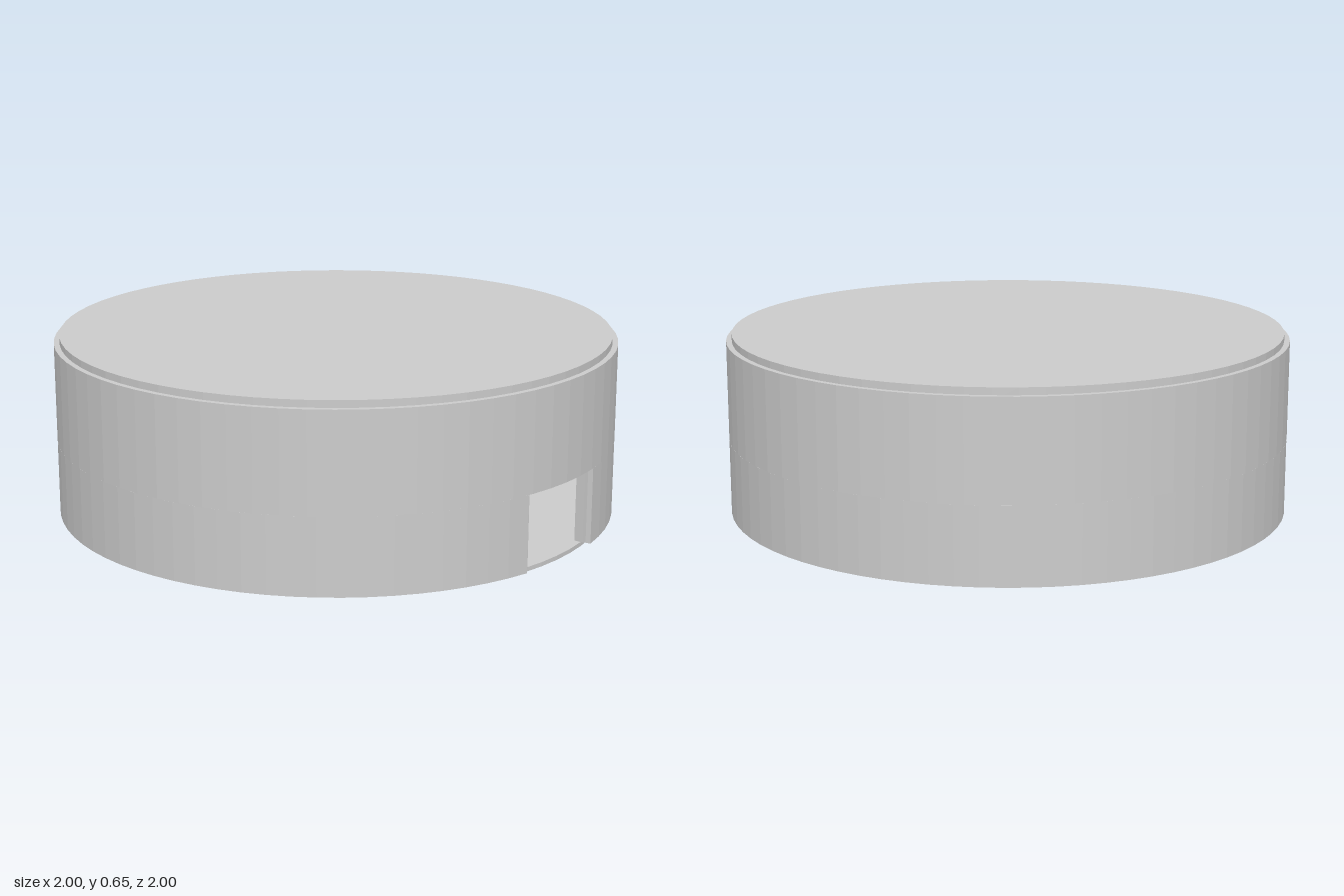
import * as THREE from 'three';

export function createModel() {
  const model = new THREE.Group();
  const mat = new THREE.MeshStandardMaterial({ color: 0xcccccc, flatShading: true });

  function add(name, geometry, parent = model) {
    const mesh = new THREE.Mesh(geometry, mat);
    mesh.name = name;
    parent.add(mesh);
    return mesh;
  }
  // box given by its lower and upper limits on each axis
  function box(name, [x0, x1], [y0, y1], [z0, z1], parent = model) {
    const m = add(name, new THREE.BoxGeometry(x1 - x0, y1 - y0, z1 - z0), parent);
    m.position.set((x0 + x1) / 2, (y0 + y1) / 2, (z0 + z1) / 2);
    return m;
  }
  function disc(name, r, y0, y1) {
    add(name, new THREE.CylinderGeometry(r, r, y1 - y0, 72)).position.y = (y0 + y1) / 2;
  }
  function extrudeUp(name, shape, y0, y1) {
    const g = new THREE.ExtrudeGeometry(shape, { depth: y1 - y0, bevelEnabled: false, curveSegments: 36 });
    add(name, g.rotateX(-Math.PI / 2).translate(0, y0, 0));
  }

  const outer = 1, inner = 0.97, floorTop = 0.015, doorTop = 0.28;

  // floor and roof
  disc('floor', 0.97, 0, floorTop);
  disc('roof', 0.98, 0.61, 0.655);

  // outer wall: closed ring above the doorway, open ring beside it
  const ring = new THREE.Shape().absarc(0, 0, outer, 0, Math.PI * 2, false);
  ring.holes.push(new THREE.Path().absarc(0, 0, inner, 0, Math.PI * 2, true));
  extrudeUp('upperWall', ring, doorTop, 0.63);

  const start = -Math.PI / 2 + 0.186, end = Math.PI * 1.5 - 0.192;
  const openRing = new THREE.Shape();
  openRing.absarc(0, 0, outer, start, end, false);
  openRing.absarc(0, 0, inner, end, start, true);
  openRing.closePath();
  extrudeUp('lowerWall', openRing, 0.01, doorTop);

  // door posts
  box('doorPost', [-0.19, -0.165], [floorTop, doorTop], [0.93, 0.965]);
  box('doorPost', [0.165, 0.185], [floorTop, doorTop], [0.93, 0.965]);

  // inner partition running back from the entrance
  box('partition', [-0.093, -0.055], [floorTop, 0.61], [-0.4, 0.825]);

  // panelled screen at the back of the room
  const screen = new THREE.Group();
  screen.name = 'backScreen';
  model.add(screen);
  box('screenPanel', [-0.5, 0.5], [floorTop, 0.61], [-0.43, -0.4], screen);
  for (const x of [-0.42, -0.3, -0.165, -0.125, 0, 0.06, 0.2, 0.35])
    box('screenStud', [x - 0.005, x + 0.005], [floorTop, 0.61], [-0.4, -0.39], screen);
  for (const y of [0.035, 0.14, 0.3, 0.45])
    box('screenRail', [-0.5, 0.5], [y - 0.006, y + 0.006], [-0.4, -0.393], screen);

  // chair with a lattice back
  const chair = new THREE.Group();
  chair.name = 'chair';
  model.add(chair);
  box('seat', [0.085, 0.165], [0.095, 0.108], [0.3, 0.38], chair);
  for (const x of [0.085, 0.155])
    for (const z of [0.3, 0.37])
      box('chairLeg', [x, x + 0.01], [floorTop, 0.095], [z, z + 0.01], chair);
  for (let i = 0; i < 4; i++) {
    const x = 0.102 + i * 0.017, y = 0.125 + i * 0.02;
    box('backSlat', [x, x + 0.006], [0.108, 0.19], [0.3, 0.308], chair);
    box('backRail', [0.102, 0.16], [y, y + 0.006], [0.3, 0.308], chair);
  }

  return model;
}
